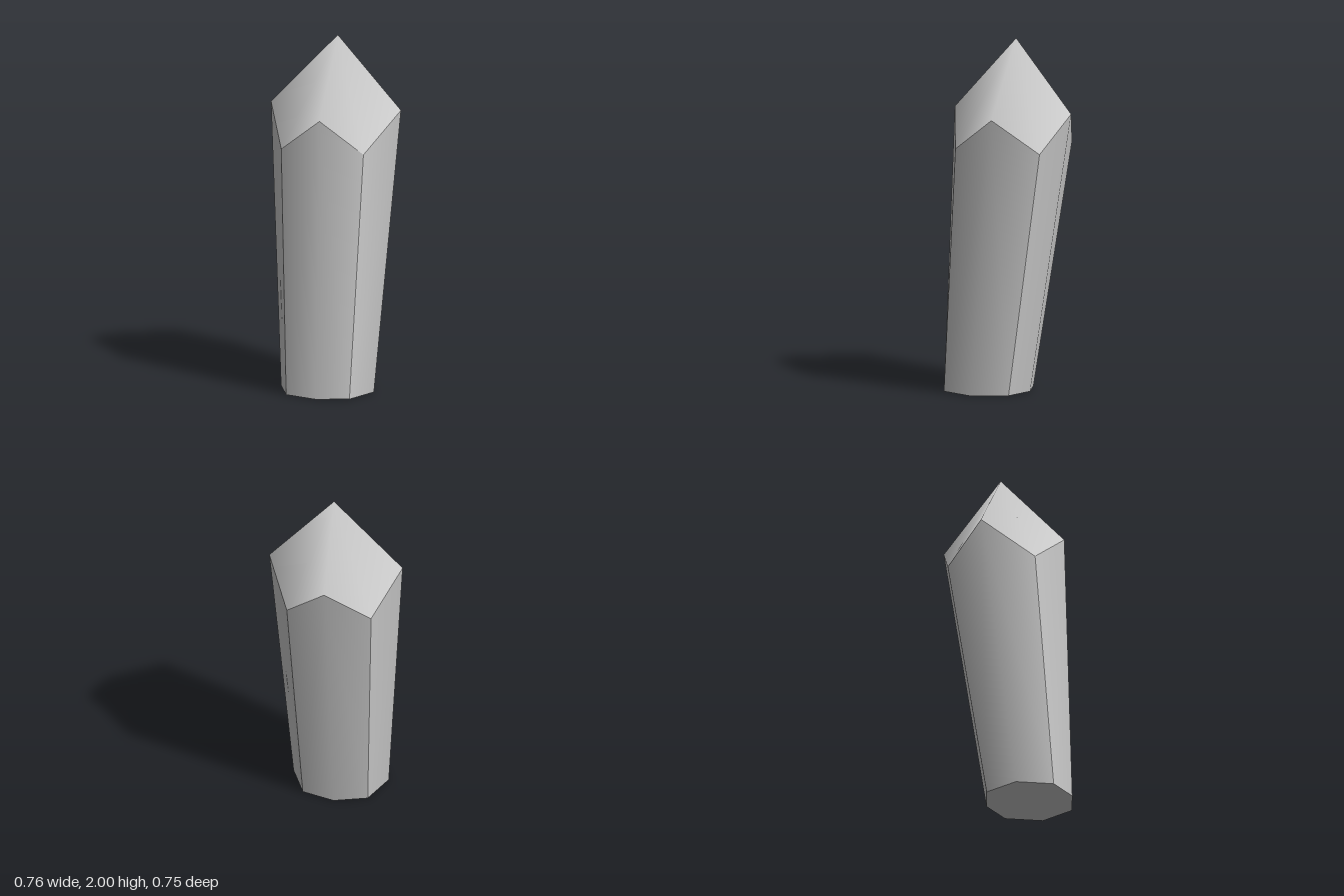
import * as THREE from 'three';

const material = new THREE.MeshStandardMaterial({ color: 0xcccccc });

// Smooth-shaded mesh from points and triangles; separate meshes meet in a sharp edge
function facet(name, points, triangles) {
  const geometry = new THREE.BufferGeometry().setFromPoints(points);
  geometry.setIndex(triangles.flat());
  geometry.computeVertexNormals();
  const mesh = new THREE.Mesh(geometry, material);
  mesh.name = name;
  return mesh;
}

// Eight-cornered ring starting at the front and turning towards +x;
// even corners lie on the axes, odd corners on the diagonals
function ring(cx, cz, axis, diagonal) {
  return Array.from({ length: 8 }, (_, i) => {
    const r = i % 2 ? diagonal : axis;
    const x = Math.round(Math.sin(i * Math.PI / 4)), z = Math.round(Math.cos(i * Math.PI / 4));
    return new THREE.Vector3(cx + x * r.x, r.y, cz + z * r.z);
  });
}

export function createModel() {
  const group = new THREE.Group();
  group.name = 'crystal';

  const bottom = ring(0, 0.125, { x: 0.27, y: 0, z: 0.25 }, { x: 0.184, y: 0, z: 0.195 });
  const top = ring(0, -0.026, { x: 0.378, y: 1.59, z: 0.351 }, { x: 0.239, y: 1.39, z: 0.254 });
  top[2].z = top[6].z = -0.046;
  top[0].x = top[4].x = 0.011;
  const apex = new THREE.Vector3(0.011, 2, -0.045);

  // Four shaft sides, each softly folded along its middle
  ['front', 'left', 'back', 'right'].forEach((side, k) => {
    const ids = [2 * k + 7, 2 * k, 2 * k + 1].map(i => i % 8);
    const points = [...ids.map(i => bottom[i]), ...ids.map(i => top[i])];
    group.add(facet(side + 'Side', points, [[0, 1, 4], [0, 4, 3], [1, 2, 4], [2, 5, 4]]));
  });

  // Pointed tip and flat underside as fans around their centres
  const fan = flip => Array.from({ length: 8 }, (_, i) =>
    flip ? [8, (i + 1) % 8, i] : [8, i, (i + 1) % 8]);
  group.add(facet('tip', [...top, apex], fan(false)));
  group.add(facet('base', [...bottom, new THREE.Vector3(0, 0, 0.125)], fan(true)));

  return group;
}
